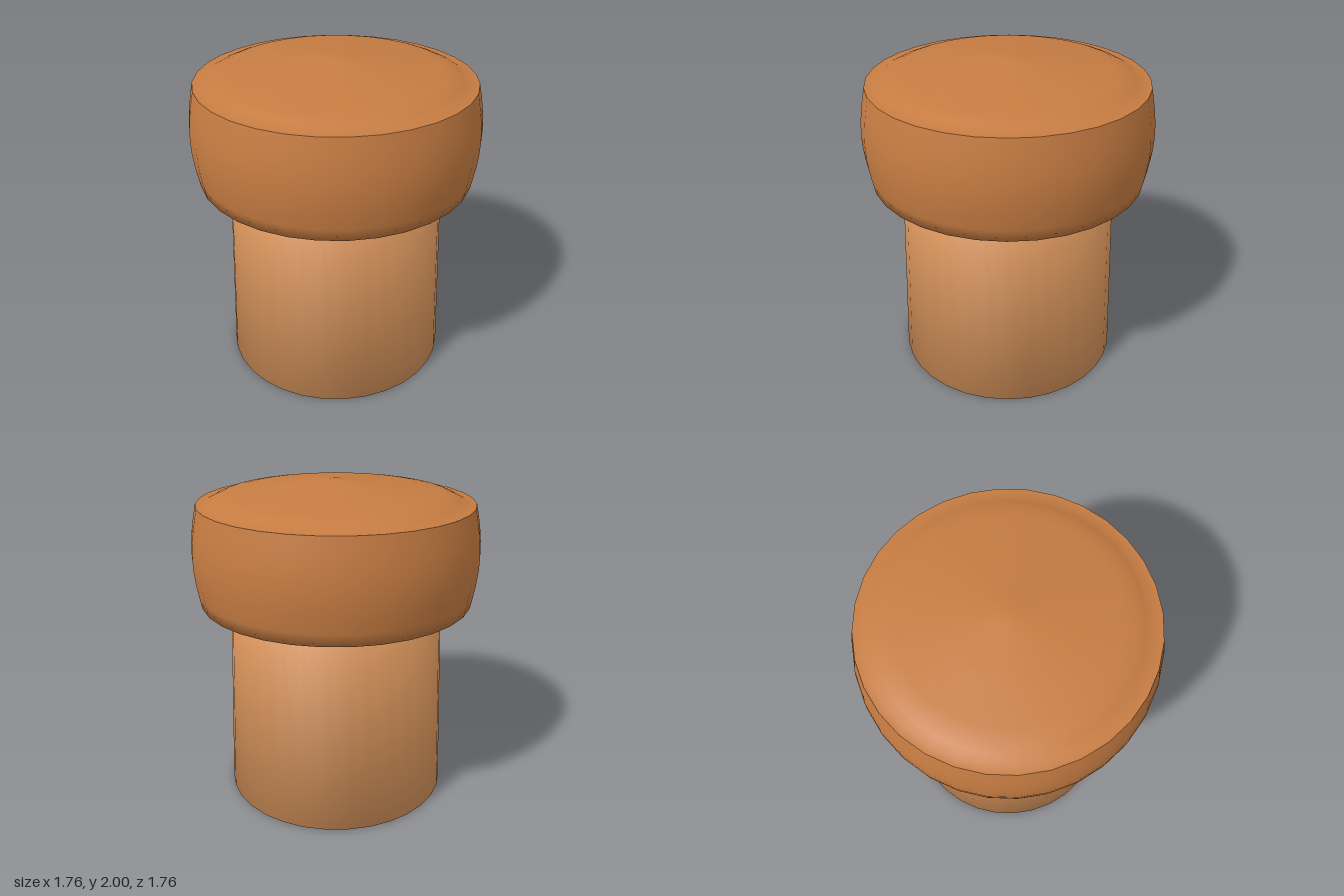
import * as THREE from 'three';

const SIDES = 32;

// Smooth turned part from a bottom-to-top list of [radius, height]
function turned(name, profile, color) {
  const points = profile.map(([r, y]) => new THREE.Vector2(r, y));
  const mesh = new THREE.Mesh(
    new THREE.LatheGeometry(points, SIDES),
    new THREE.MeshStandardMaterial({ color })
  );
  mesh.name = name;
  return mesh;
}

export function createModel() {
  const group = new THREE.Group();
  group.name = 'stopper';

  // Tapered shaft, closed at both ends
  group.add(turned('shaft', [[0, 0], [0.7, 0], [0.655, 1.28], [0, 1.28]], 0xd9955c));

  // Bulging head with a flat underside
  const low = 1.265, high = 1.87, rings = 8;
  const bulge = [[0, low]];
  for (let i = 0; i <= rings; i++) {
    const t = i / rings;
    bulge.push([0.84 + 0.04 * Math.sin(Math.PI * t), low + (high - low) * t]);
  }
  group.add(turned('head', bulge, 0xc67c42));

  // Shallow domed top with a narrow flat rim
  group.add(turned('headTop', [
    [0.84, high], [0.79, high], [0.74, 1.895], [0.69, 1.915], [0.62, 1.928],
    [0.35, 1.962], [0.08, 1.995], [0.04, 2], [0, 2],
  ], 0xc67c42));

  return group;
}
